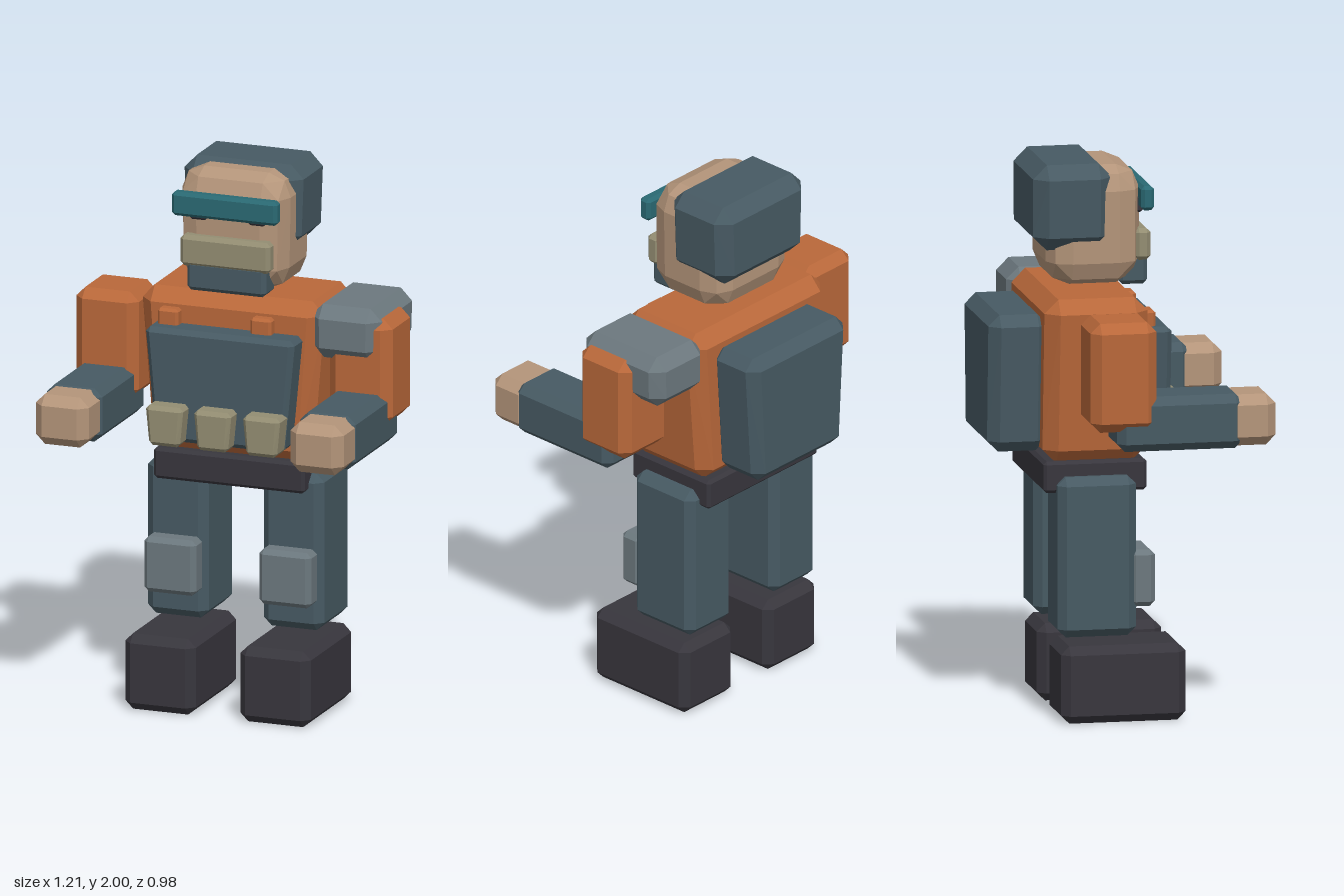
import * as THREE from 'three';
import { ConvexGeometry } from 'three/addons/geometries/ConvexGeometry.js';

const paint = (name, color) => {
  const m = new THREE.MeshStandardMaterial({ color, flatShading: true });
  m.name = name;
  return m;
};

// Block with bevelled edges between [min, max] bounds; taper scales the bottom width.
function bevelBlock(x, y, z, r, taper = 1, steps = 1) {
  const half = [x, y, z].map(([a, b]) => (b - a) / 2);
  const mid = [x, y, z].map(([a, b]) => (a + b) / 2);
  const points = [];
  for (const sx of [-1, 1]) for (const sy of [-1, 1]) for (const sz of [-1, 1]) {
    for (let i = 0; i <= steps; i++) for (let j = 0; j <= steps - i; j++) {
      const d = new THREE.Vector3(i, j, steps - i - j).normalize().multiplyScalar(r);
      const py = sy * (half[1] - r + d.y);
      const k = THREE.MathUtils.lerp(taper, 1, (py + half[1]) / (2 * half[1]));
      points.push(new THREE.Vector3(
        mid[0] + sx * (half[0] - r + d.x) * k, mid[1] + py, mid[2] + sz * (half[2] - r + d.z)));
    }
  }
  return new ConvexGeometry(points);
}

export function createModel() {
  const orange = paint('orange suit', 0xb9683a);
  const slate = paint('slate cloth', 0x475a63);
  const grey = paint('grey armour', 0x6c787e);
  const skin = paint('skin', 0xb4957a);
  const charcoal = paint('charcoal leather', 0x38363d);
  const khaki = paint('khaki', 0x938d72);
  const teal = paint('teal visor', 0x2a6973);

  const model = new THREE.Group();
  model.name = 'armouredFigure';
  const add = (name, mat, x, y, z, r, taper, steps) => {
    const mesh = new THREE.Mesh(bevelBlock(x, y, z, r, taper, steps), mat);
    mesh.name = name;
    model.add(mesh);
  };
  // x bounds from a centre and a width
  const span = (c, w) => [c - w / 2, c + w / 2];

  // Legs and arms, mirrored
  for (const [side, s] of [['left', 1], ['right', -1]]) {
    add(side + 'Boot', charcoal, span(s * 0.22, 0.27), [0, 0.28], [-0.245, 0.207], 0.03);
    add(side + 'Leg', slate, span(s * 0.221, 0.232), [0.31, 0.89], [-0.255, 0.03], 0.03);
    add(side + 'KneePad', grey, span(s * 0.22, 0.2), [0.412, 0.617], [0.01, 0.1], 0.018);
    add(side + 'UpperArm', orange, span(s * 0.485, 0.24), [1.1, 1.495], [-0.187, 0.052], 0.035);
    add(side + 'Forearm', slate, span(s * 0.485, 0.212), [1.025, 1.222], [-0.09, 0.37], 0.03);
    add(side + 'Hand', skin, span(s * 0.487, 0.204), [1.032, 1.217], [0.31, 0.488], 0.035);
    add(side + 'StrapClip', orange, span(s * 0.135 - 0.04 + (s > 0 ? 0.04 : -0.045), 0.08),
      [1.39, 1.475], [0.05, 0.113], 0.01);
  }

  // Trunk
  add('belt', charcoal, [-0.29, 0.288], [0.83, 0.945], [-0.3, 0.075], 0.012);
  add('torso', orange, [-0.352, 0.352], [0.935, 1.535], [-0.3, 0.075], 0.05, 0.86);
  add('chestPlate', slate, [-0.288, 0.284], [1.0, 1.417], [0.04, 0.168], 0.018, 0.86);
  add('backpack', slate, [-0.258, 0.258], [0.97, 1.47], [-0.487, -0.27], 0.04, 0.87);
  add('shoulderPad', grey, [0.298, 0.57], [1.335, 1.532], [-0.31, 0.075], 0.045, 0.95);
  for (const c of [-0.187, -0.003, 0.184]) {
    add('pouch', khaki, span(c, 0.145), [1.0, 1.147], [0.12, 0.237], 0.015, 0.8);
  }

  // Head and headgear
  add('head', skin, [-0.21, 0.207], [1.555, 1.985], [-0.26, 0.078], 0.085, 0.96, 2);
  add('helmet', slate, [-0.231, 0.228], [1.69, 2.0], [-0.317, -0.03], 0.05, 0.95);
  add('visor', teal, [-0.204, 0.2], [1.825, 1.913], [0.072, 0.12], 0.012);
  add('mouthGuard', khaki, [-0.175, 0.17], [1.64, 1.755], [0.055, 0.113], 0.015);
  add('chinGuard', slate, [-0.152, 0.15], [1.55, 1.66], [0, 0.105], 0.015);
  for (const c of [-0.113, 0.11]) {
    add('eye', charcoal, span(c, 0.066), [1.81, 1.87], [0.06, 0.09], 0.008);
  }

  return model;
}
